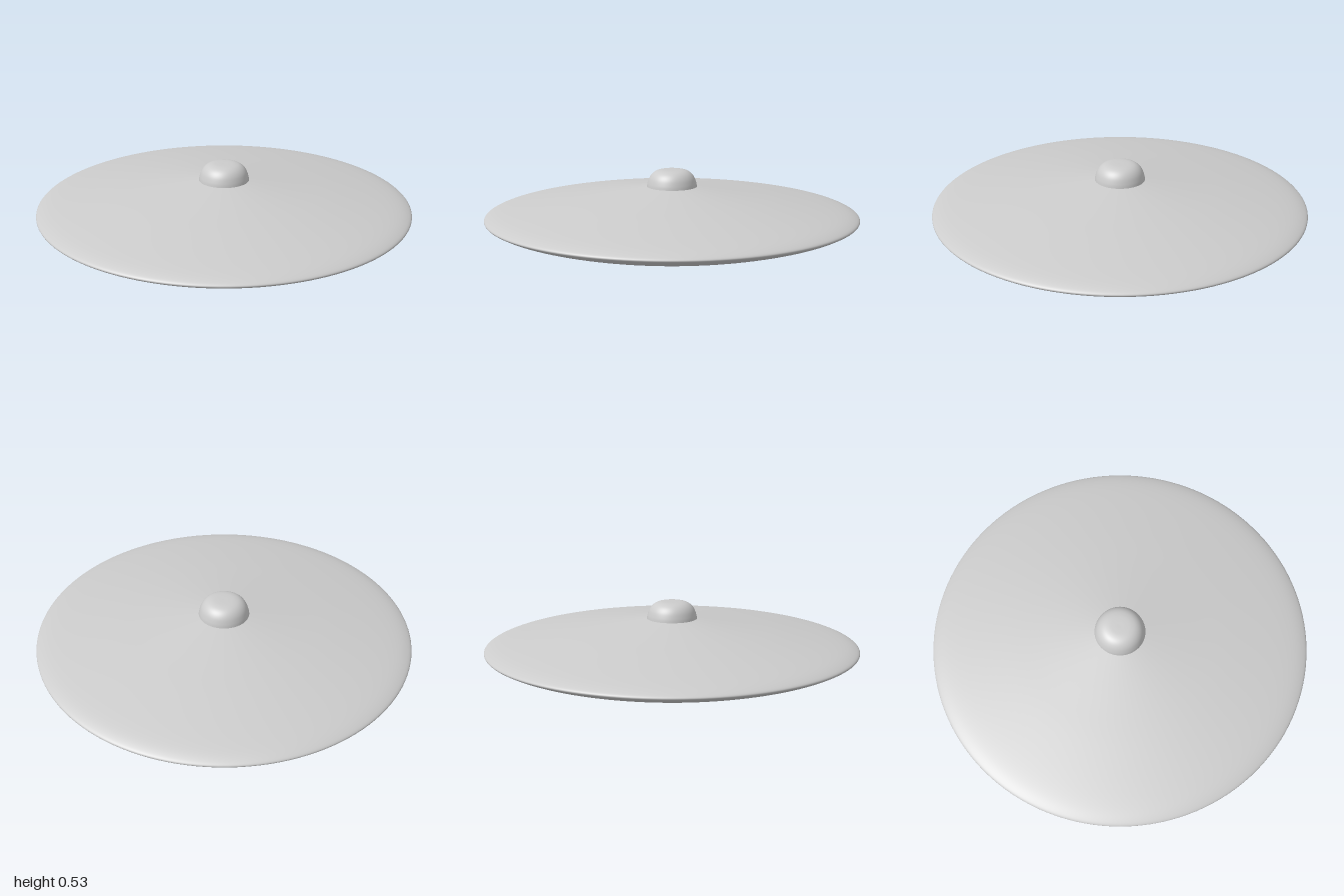
import * as THREE from 'three';

const SEGMENTS = 128;

// Smooth body of revolution through a few [radius, height] points, bottom to top
function revolve(name, points, samples, material) {
  const curve = new THREE.SplineCurve(points.map(([r, y]) => new THREE.Vector2(r, y)));
  const profile = curve.getPoints(samples);
  profile.forEach((p) => { p.x = Math.max(p.x, 0); });
  const mesh = new THREE.Mesh(new THREE.LatheGeometry(profile, SEGMENTS), material);
  mesh.name = name;
  return mesh;
}

export function createModel() {
  const group = new THREE.Group();
  group.name = 'saucer';
  const material = new THREE.MeshStandardMaterial({ color: 0xcccccc, side: THREE.DoubleSide });

  // Disc: pointed belly, shallow underside, rounded rim and sloping upper deck
  group.add(revolve('hull', [
    [0, 0], [0.02, 0.005], [0.06, 0.027], [0.11, 0.05], [0.2, 0.073], [0.4, 0.112],
    [0.6, 0.152], [0.8, 0.198], [0.92, 0.232], [0.98, 0.256], [1, 0.272],
    [0.98, 0.289], [0.92, 0.309], [0.8, 0.333], [0.6, 0.366], [0.4, 0.395], [0.13, 0.434],
  ], 128, material));

  // Flat-topped dome on the centre of the deck
  group.add(revolve('dome', [
    [0.134, 0.432], [0.13, 0.453], [0.12, 0.481], [0.105, 0.502],
    [0.085, 0.516], [0.06, 0.523], [0.03, 0.525], [0, 0.525],
  ], 48, material));

  return group;
}
